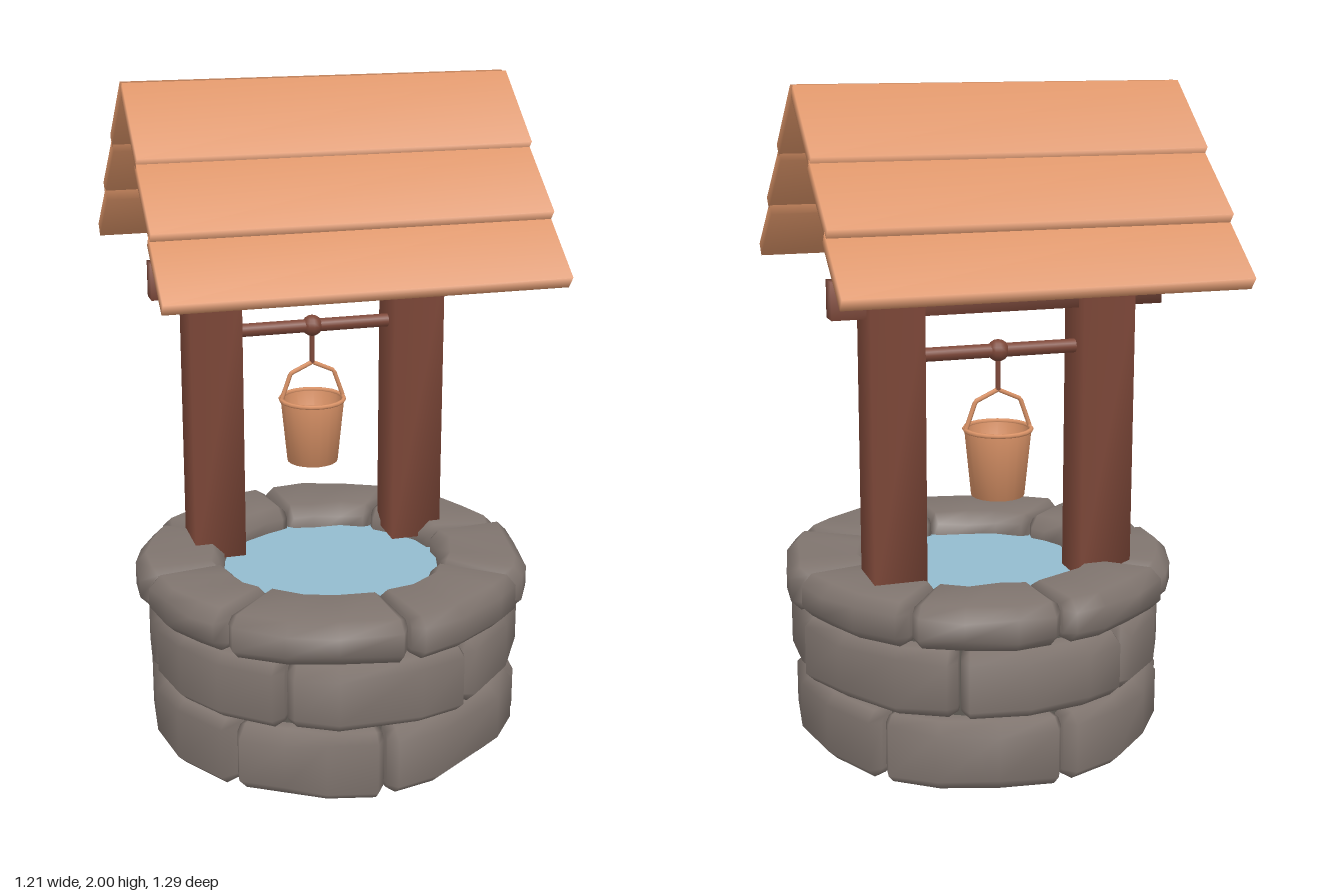
import * as THREE from 'three';
import { mergeVertices } from 'three/addons/utils/BufferGeometryUtils.js';

const mat = (name, color, side = THREE.FrontSide) => {
  const m = new THREE.MeshStandardMaterial({ color, side });
  m.name = name;
  return m;
};

// box with shared corners, so shading runs softly over its edges
function softBox(w, h, d) {
  let g = new THREE.BoxGeometry(w, h, d);
  g.deleteAttribute('normal');
  g.deleteAttribute('uv');
  g = mergeVertices(g);
  g.computeVertexNormals();
  return g;
}

// curved, bevelled block swept from angle a0 to a1 around the well
function stoneGeometry(a0, a1, rIn, rOut, y0, y1, rand) {
  const c = 0.032, gap = 0.008, bevel = 0.05, mids = 2;
  const stations = [[a0 + gap, c], [a0 + gap + bevel, 0]];
  for (let i = 1; i <= mids; i++) {
    stations.push([a0 + (a1 - a0) * (i + (rand() - 0.5) * 0.4) / (mids + 1), 0]);
  }
  stations.push([a1 - gap - bevel, 0], [a1 - gap, c]);
  const pos = [], idx = [], n = 8;
  stations.forEach(([a, inset]) => {
    const ro = rOut - inset - rand() * 0.015, ri = rIn + inset * 0.6 + rand() * 0.02;
    const b = y0 + inset * 0.5, t = y1 - inset * 0.5;
    const k = inset ? c * 0.5 : c * (0.8 + rand() * 0.5);
    const section = [[ro, b + k], [ro, t - k], [ro - k, t], [ri + k, t],
      [ri, t - k], [ri, b + k], [ri + k, b], [ro - k, b]];
    section.forEach(([r, y]) => pos.push(r * Math.sin(a), y, r * Math.cos(a)));
  });
  const last = stations.length - 1;
  for (let i = 0; i < last; i++) {
    for (let j = 0; j < n; j++) {
      const p = i * n + j, q = i * n + (j + 1) % n;
      idx.push(p, p + n, q + n, p, q + n, q);
    }
  }
  for (let j = 1; j < n - 1; j++) {
    idx.push(0, j, j + 1, last * n, last * n + j + 1, last * n + j);
  }
  const g = new THREE.BufferGeometry();
  g.setAttribute('position', new THREE.Float32BufferAttribute(pos, 3));
  g.setIndex(idx);
  g.computeVertexNormals();
  return g;
}

export function createModel() {
  const model = new THREE.Group();
  model.name = 'wishingWell';
  let seed = 7;
  const rand = () => (seed = (seed * 16807) % 2147483647) / 2147483647;

  const stone = mat('stone grey', 0x80756f);
  const core = mat('mortar grey', 0x5f5a54);
  const water = mat('water blue', 0x93bbce);
  const darkWood = mat('dark wood', 0x7e4839);
  const lightWood = mat('light wood', 0xdc9468);
  const bucketWood = mat('bucket wood', 0xdc9468, THREE.DoubleSide);

  const add = (parent, name, geometry, material, x = 0, y = 0, z = 0) => {
    const m = new THREE.Mesh(geometry, material);
    m.name = name;
    m.position.set(x, y, z);
    parent.add(m);
    return m;
  };

  // stone wall: three courses with staggered joints (degrees from the front)
  const wall = new THREE.Group();
  wall.name = 'stoneWall';
  wall.position.z = 0.045;
  model.add(wall);
  const courses = [
    { name: 'bottomStone', y: [0, 0.21], r: [0.4, 0.578], joints: [1, 66, 132, 190, 250, 313] },
    { name: 'middleStone', y: [0.222, 0.425], r: [0.4, 0.583], joints: [29, 96, 157, 213, 275, 330] },
    { name: 'topStone', y: [0.437, 0.57], r: [0.33, 0.606], joints: [7, 54, 98, 143, 188, 233, 275, 313] },
  ];
  for (const { name, y, r, joints } of courses) {
    joints.forEach((a, i) => {
      const b = i + 1 < joints.length ? joints[i + 1] : joints[0] + 360;
      const rad = THREE.MathUtils.degToRad;
      add(wall, name, stoneGeometry(rad(a), rad(b), r[0], r[1], y[0], y[1], rand), stone);
    });
  }
  add(wall, 'wallCore', new THREE.CylinderGeometry(0.49, 0.49, 0.45, 32), core, 0, 0.24, 0);
  add(wall, 'waterSurface', new THREE.CircleGeometry(0.4, 32).rotateX(-Math.PI / 2), water, 0, 0.5, 0);

  // frame
  const zFrame = -0.15;
  for (const side of [-1, 1]) {
    add(model, side > 0 ? 'leftPost' : 'rightPost', softBox(0.16, 0.87, 0.16), darkWood,
      side * 0.322 - 0.003, 0.955, zFrame);
  }
  add(model, 'crossBeam', softBox(1.01, 0.11, 0.065), darkWood, -0.005, 1.405, zFrame);
  add(model, 'axle', new THREE.CylinderGeometry(0.021, 0.021, 0.56, 12).rotateZ(Math.PI / 2),
    darkWood, -0.005, 1.23, zFrame);
  add(model, 'ropeKnot', new THREE.SphereGeometry(0.033, 12, 8), darkWood, -0.005, 1.23, zFrame);
  add(model, 'rope', new THREE.CylinderGeometry(0.008, 0.008, 0.12, 8), darkWood, -0.005, 1.17, zFrame);

  // bucket
  const bucket = new THREE.Group();
  bucket.name = 'bucket';
  bucket.position.set(-0.005, 0, zFrame);
  model.add(bucket);
  const profile = [[0, 0.79], [0.08, 0.79], [0.1, 0.99], [0.09, 0.99], [0.072, 0.805], [0, 0.805]]
    .map(([x, y]) => new THREE.Vector2(x, y));
  add(bucket, 'bucketBody', new THREE.LatheGeometry(profile, 20), bucketWood);
  add(bucket, 'bucketRim', new THREE.TorusGeometry(0.1, 0.007, 6, 20).rotateX(Math.PI / 2),
    bucketWood, 0, 0.993, 0);
  const bail = new THREE.CurvePath();
  const pts = [[-0.1, 0.995], [-0.07, 1.08], [0, 1.112], [0.07, 1.08], [0.1, 0.995]]
    .map(([x, y]) => new THREE.Vector3(x, y, 0));
  for (let i = 0; i < pts.length - 1; i++) bail.add(new THREE.LineCurve3(pts[i], pts[i + 1]));
  add(bucket, 'bucketHandle', new THREE.TubeGeometry(bail, 32, 0.007, 6), bucketWood);

  // roof: three overlapping planks per slope [z from ridge, y, length, pitch]
  const planks = [
    [0.112, 1.893, 0.283, 0.695],
    [0.298, 1.712, 0.265, 0.668],
    [0.457, 1.545, 0.24, 0.67],
  ];
  const roof = new THREE.Group();
  roof.name = 'roof';
  roof.position.set(-0.005, 0, -0.075);
  model.add(roof);
  for (const side of [-1, 1]) {
    for (const [z, y, length, pitch] of planks) {
      const p = add(roof, side > 0 ? 'frontRoofPlank' : 'backRoofPlank',
        softBox(1.16, 0.043, length), lightWood, 0, y, side * z);
      p.rotation.x = side * pitch;
    }
  }
  return model;
}
